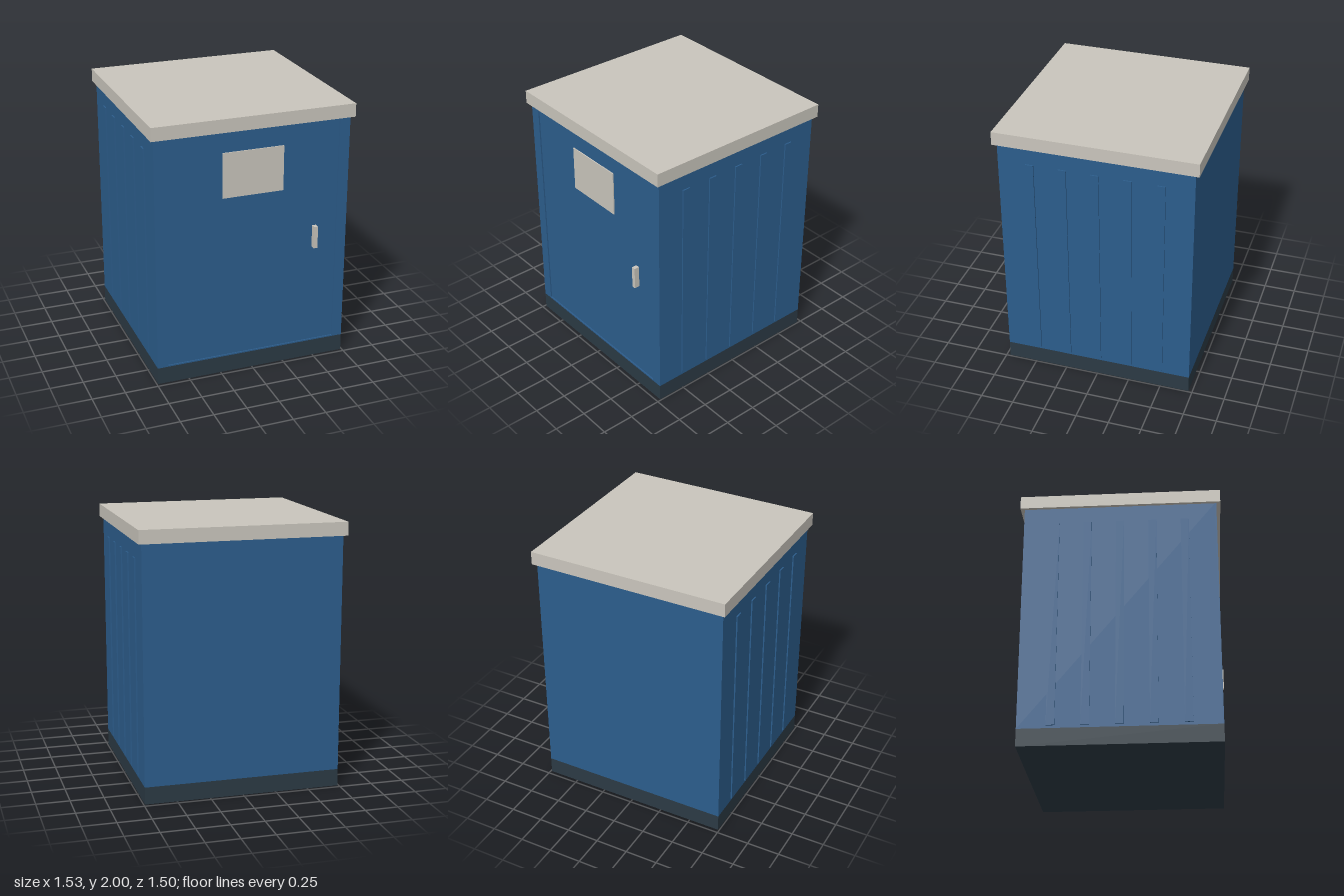
import * as THREE from 'three';

export function createModel() {
  const model = new THREE.Group();
  model.name = 'cabinet';

  const material = (name, color) => {
    const m = new THREE.MeshStandardMaterial({ color });
    m.name = name;
    return m;
  };
  const blue = material('blue paint', 0x2c5d8c);
  const dark = material('dark plinth', 0x2b3a44);
  const cream = material('cream trim', 0xc9c5bc);

  const add = (name, geometry, mat, x, y, z) => {
    const mesh = new THREE.Mesh(geometry, mat);
    mesh.name = name;
    mesh.position.set(x, y, z);
    model.add(mesh);
    return mesh;
  };
  // Box given by its x, y and z ranges
  const box = (name, mat, [x0, x1], [y0, y1], [z0, z1]) =>
    add(name, new THREE.BoxGeometry(x1 - x0, y1 - y0, z1 - z0), mat,
      (x0 + x1) / 2, (y0 + y1) / 2, (z0 + z1) / 2);

  // Plinth, body and overhanging roof
  box('base', dark, [-0.74, 0.74], [0, 0.13], [-0.72, 0.72]);
  box('body', blue, [-0.74, 0.74], [0.13, 1.9], [-0.72, 0.71]);
  box('roof', cream, [-0.765, 0.765], [1.9, 2], [-0.75, 0.75]);

  // Raised frame around the slightly recessed door
  const rectangle = (path, x, y0, y1) => path
    .moveTo(-x, y0).lineTo(x, y0).lineTo(x, y1).lineTo(-x, y1).closePath();
  const frame = new THREE.Shape();
  rectangle(frame, 0.74, 0.13, 1.9);
  const opening = new THREE.Path();
  rectangle(opening, 0.66, 0.14, 1.89);
  frame.holes.push(opening);
  add('doorFrame', new THREE.ExtrudeGeometry(frame, { depth: 0.01, bevelEnabled: false }),
    blue, 0, 0, 0.71);

  // Door plate and handle
  box('signPlate', cream, [-0.235, 0.23], [1.4, 1.74], [0.71, 0.718]);
  box('handle', cream, [0.47, 0.5], [0.915, 1.085], [0.71, 0.75]);

  // Vertical stiffening ribs on both sides
  for (const side of [-1, 1]) {
    for (let i = -2; i <= 2; i++) {
      add(side > 0 ? 'leftRib' : 'rightRib', new THREE.BoxGeometry(0.01, 1.62, 0.06),
        blue, side * 0.745, 0.96, i * 0.241);
    }
  }
  return model;
}
